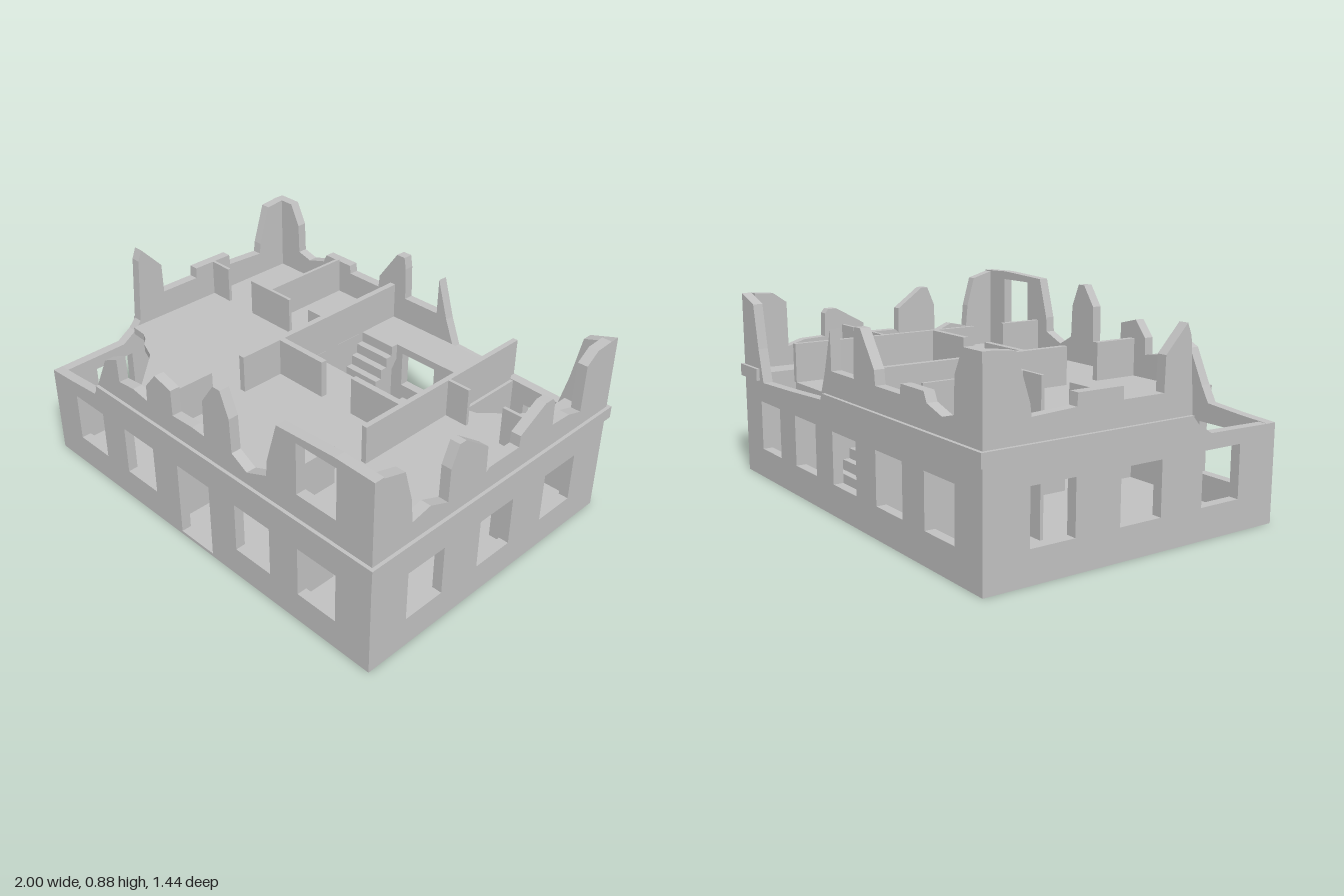
import * as THREE from 'three';

export function createModel() {
  const root = new THREE.Group();
  root.name = 'ruinedHouse';
  const stone = new THREE.MeshStandardMaterial({ color: 0xc0c0c0 });
  stone.name = 'grey stone';

  const X = 0.985, Z = 0.705, T = 0.045;      // outer half sizes, wall thickness
  const GROUND = 0.015, CEILING = 0.455, FLOOR = 0.49;

  const add = (geometry, name, parent = root) => {
    const mesh = new THREE.Mesh(geometry, stone);
    mesh.name = name;
    parent.add(mesh);
    return mesh;
  };
  const box = (name, x0, x1, y0, y1, z0, z1, parent) => {
    const mesh = add(new THREE.BoxGeometry(x1 - x0, y1 - y0, z1 - z0), name, parent);
    mesh.position.set((x0 + x1) / 2, (y0 + y1) / 2, (z0 + z1) / 2);
  };
  const path = (points, Type = THREE.Shape) => new Type(points.map(([x, y]) => new THREE.Vector2(x, y)));
  const rect = (x0, x1, y0, y1) => path([[x0, y0], [x0, y1], [x1, y1], [x1, y0]], THREE.Path);

  // Outer wall: broken skyline plus openings, extruded to the wall thickness
  const wall = (name, skyline, holes) => {
    const first = skyline[0][0], last = skyline[skyline.length - 1][0];
    const shape = path([[first, 0], [last, 0], ...[...skyline].reverse()]);
    shape.holes = holes.map((h) => rect(...h));
    return add(new THREE.ExtrudeGeometry(shape, { depth: T, bevelEnabled: false }), name);
  };
  const opening = (centre, bottom = 0.135) => [centre - 0.1, centre + 0.1, bottom, 0.36];
  const longWindows = [-0.715, -0.36, 0.355, 0.71].map((c) => opening(c));
  const sideWindows = [-0.408, 0, 0.41].map((c) => opening(c));

  const front = wall('frontWall', [
    [-X, 0.42], [-0.83, 0.43], [-0.66, 0.445], [-0.62, 0.515], [-0.545, 0.665], [-0.46, 0.705],
    [-0.455, 0.6], [-0.36, 0.61], [-0.267, 0.595], [-0.264, 0.67], [-0.2, 0.745], [-0.102, 0.72],
    [-0.1, 0.605], [0.02, 0.61], [0.094, 0.605], [0.097, 0.77], [0.165, 0.865], [0.205, 0.865],
    [0.25, 0.76], [0.257, 0.61], [0.34, 0.565], [0.45, 0.61], [0.455, 0.68], [0.51, 0.865],
    [0.8, 0.88], [X, 0.875],
  ], [...longWindows, opening(0, GROUND), [0.61, 0.81, 0.615, 0.84]]);
  front.position.z = Z - T;

  const back = wall('backWall', [
    [-X, 0.84], [-0.87, 0.84], [-0.82, 0.74], [-0.815, 0.6], [-0.74, 0.58], [-0.64, 0.61],
    [-0.62, 0.65], [-0.46, 0.65], [-0.455, 0.61], [-0.27, 0.61], [-0.264, 0.67], [-0.16, 0.815],
    [-0.115, 0.815], [-0.105, 0.76], [-0.1, 0.61], [0.092, 0.61], [0.095, 0.78], [0.15, 0.6],
    [0.2, 0.475], [0.5, 0.46], [0.78, 0.45], [0.82, 0.6], [0.86, 0.8], [X, 0.84],
  ], [...longWindows, opening(0)]);
  back.position.z = -Z;

  const left = wall('leftWall', [
    [T - Z, 0.84], [-0.57, 0.835], [-0.505, 0.79], [-0.502, 0.58], [-0.42, 0.605], [-0.31, 0.61],
    [-0.306, 0.72], [-0.29, 0.74], [-0.245, 0.74], [-0.1, 0.66], [-0.097, 0.61], [0.08, 0.61],
    [0.098, 0.595], [0.101, 0.715], [0.235, 0.81], [0.27, 0.81], [0.309, 0.72], [0.312, 0.575],
    [0.41, 0.615], [0.505, 0.595], [0.515, 0.7], [0.555, 0.84], [Z - T, 0.87],
  ], sideWindows);
  left.rotation.y = -Math.PI / 2;
  left.position.x = X;

  const right = wall('rightWall', [
    [T - Z, 0.84], [-0.57, 0.83], [-0.512, 0.65], [-0.505, 0.6], [-0.31, 0.61], [-0.306, 0.66],
    [-0.1, 0.66], [-0.097, 0.61], [0.097, 0.61], [0.101, 0.75], [0.205, 0.86], [0.225, 0.81],
    [0.245, 0.51], [0.28, 0.47], [0.35, 0.425], [Z - T, 0.42],
  ], sideWindows);
  right.rotation.y = -Math.PI / 2;
  right.position.x = T - X;

  // String course, interrupted where the walls have collapsed
  const B = 0.015;
  [[-0.62, X + B, Z, Z + B], [-X - B, 0.155, -Z - B, -Z], [0.82, X + B, -Z - B, -Z],
    [X, X + B, -Z, Z], [-X - B, -X, -Z, 0.24]].forEach(([x0, x1, z0, z1]) =>
    box('stringCourse', x0, x1, CEILING, 0.51, z0, z1));

  // Floors: ground plate and upper slab with broken corners and stairwell
  box('groundFloor', T - X, X - T, 0, GROUND, T - Z, Z - T);
  const slab = path([
    [-0.94, -0.66], [0.53, -0.66], [0.53, -0.285], [0.62, -0.305], [0.72, -0.4], [0.81, -0.5],
    [0.81, -0.66], [0.94, -0.66], [0.94, 0.66], [-0.435, 0.66], [-0.5, 0.575], [-0.69, 0.38],
    [-0.78, 0.345], [-0.82, 0.31], [-0.86, 0.29], [-0.94, 0.285],
  ]);
  slab.holes = [rect(-0.165, 0.52, -0.48, -0.14)];
  const upper = add(new THREE.ExtrudeGeometry(slab, { depth: FLOOR - CEILING, bevelEnabled: false }), 'upperFloor');
  upper.rotation.x = Math.PI / 2;
  upper.position.y = FLOOR;

  // Partition on both storeys; doors are [from, to], with lintels on the ground storey
  const partition = (along, at, thick, from, to, doors = []) => {
    const group = new THREE.Group();
    group.name = 'partition';
    root.add(group);
    const piece = (name, a, b, y0, y1) => along === 'x'
      ? box(name, a, b, y0, y1, at - thick / 2, at + thick / 2, group)
      : box(name, at - thick / 2, at + thick / 2, y0, y1, a, b, group);
    let start = from;
    [...doors, [to, to]].forEach(([a, b]) => {
      piece('lowerPartition', start, a, GROUND, CEILING);
      piece('upperPartition', start, a, FLOOR, 0.66);
      if (b > a) piece('doorLintel', a, b, 0.34, CEILING);
      start = b;
    });
  };
  partition('z', -0.18, 0.028, -0.66, 0.66, [[0.275, 0.445]]);
  partition('z', 0.532, 0.024, -0.66, 0.66, [[0.275, 0.445]]);
  partition('z', -0.537, 0.015, -0.66, -0.217);
  partition('x', 0.055, 0.028, -0.166, 0.52, [[0.09, 0.26]]);
  partition('x', -0.21, 0.015, -0.94, -0.194, [[-0.825, -0.66], [-0.4, -0.275]]);
  partition('x', -0.21, 0.015, 0.544, 0.94, [[0.65, 0.82]]);

  // Two opposed stair flights, each one stepped profile
  const STEPS = 10, RUN = 0.34 / STEPS, RISE = (FLOOR - GROUND) / STEPS;
  const profile = [[0, 0]];
  for (let i = 0; i < STEPS; i++) profile.push([i * RUN, (i + 1) * RISE], [(i + 1) * RUN, (i + 1) * RISE]);
  profile.push([0.34, 0.4], [0.06, 0]);
  [['rightFlight', -0.165, 0.02, -1], ['leftFlight', 0.33, 0.52, 1]].forEach(([name, x0, x1, dir]) => {
    const geometry = new THREE.ExtrudeGeometry(path(profile), { depth: x1 - x0, bevelEnabled: false });
    const flight = add(geometry, name);
    flight.rotation.y = -dir * Math.PI / 2;
    flight.position.set(dir > 0 ? x1 : x0, GROUND, dir > 0 ? -0.48 : -0.14);
  });

  return root;
}
